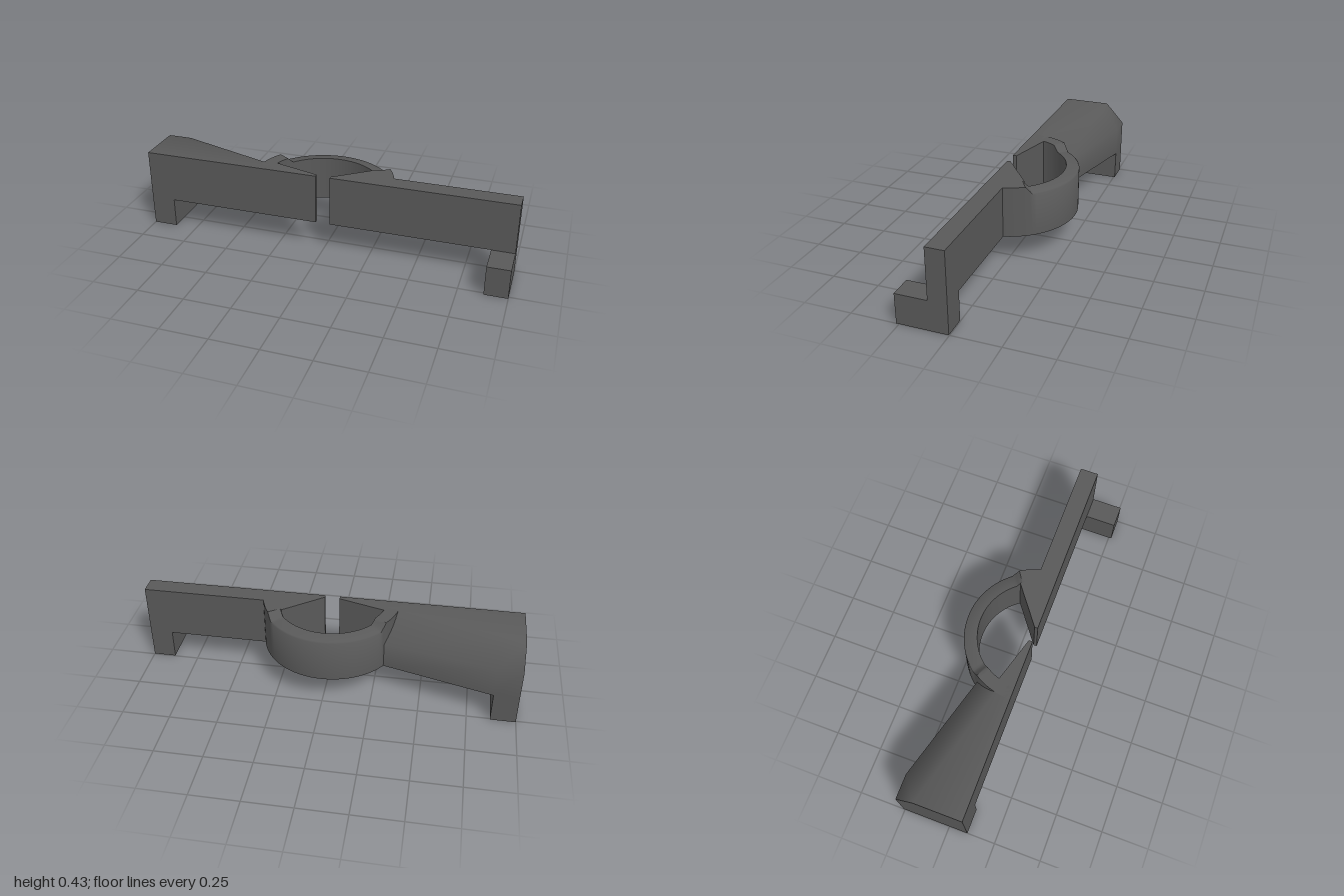
import * as THREE from 'three';
import { toCreasedNormals } from 'three/addons/utils/BufferGeometryUtils.js';
import { ConvexGeometry } from 'three/addons/geometries/ConvexGeometry.js';

const TOP = 0.43, BASE = 0.16, FRONT = 0.1;
const RING_Z = 0.099, OUTER = 0.364, INNER = 0.295;

export function createModel() {
  const group = new THREE.Group();
  const material = new THREE.MeshStandardMaterial({ color: 0x595959 });

  const add = (name, geometry) => {
    const mesh = new THREE.Mesh(geometry, material);
    mesh.name = name;
    group.add(mesh);
  };

  // Upright prism from a plan outline of [x, z] points
  const prism = (points, y0, y1) => {
    const shape = new THREE.Shape(points.map(([x, z]) => new THREE.Vector2(x, -z)));
    return new THREE.ExtrudeGeometry(shape, { depth: y1 - y0, bevelEnabled: false })
      .rotateX(-Math.PI / 2).translate(0, y0, 0);
  };
  const box = (x0, x1, y0, y1, z0, z1) =>
    new THREE.BoxGeometry(x1 - x0, y1 - y0, z1 - z0)
      .translate((x0 + x1) / 2, (y0 + y1) / 2, (z0 + z1) / 2);

  // Half ring with a low, softened rim; its two shoulders ramp up to the arms
  const profile = [
    [INNER, BASE], [OUTER, BASE], [OUTER, 0.385], [OUTER - 0.006, 0.391], [INNER, 0.4], [INNER, BASE],
  ].map(([r, y]) => new THREE.Vector2(r, y));
  const ring = new THREE.LatheGeometry(profile, 60, Math.PI / 2, Math.PI);
  const p = ring.attributes.position;
  for (let i = 0; i < p.count; i++) {
    const y = p.getY(i);
    if (y <= BASE + 0.01) continue;
    const angle = THREE.MathUtils.radToDeg(Math.atan2(-p.getZ(i), Math.abs(p.getX(i))));
    const drop = THREE.MathUtils.clamp((angle - 33) / 6, 0, 1);
    p.setY(i, THREE.MathUtils.lerp(TOP, y, drop));
  }
  ring.translate(0, 0, RING_Z);
  add('halfRing', toCreasedNormals(ring, 0.8));

  // Thin straight arm with its pointed jaw
  add('leftArm', prism([
    [1, FRONT], [1, 0.003], [0.34, 0.003], [0.3, -0.03], [0.24, -0.07], [0.037, 0.083], [0.037, FRONT],
  ], BASE, TOP));
  add('leftFoot', box(0.88, 1, 0, BASE, 0.003, 0.265));

  // Thick tapering arm, softly chamfered along its upper back edge
  const corners = [];
  for (const [x, back, topBack, chamferY] of [
    [-1, -0.257, -0.153, 0.317],
    [-0.87, -0.257, -0.153, 0.317],
    [-0.3, -0.105, 0.035, 0.3],
  ]) {
    for (const [z, y] of [[FRONT, BASE], [back, BASE], [back, chamferY], [topBack, TOP], [FRONT, TOP]]) {
      corners.push(new THREE.Vector3(x, y, z));
    }
  }
  add('rightArm', toCreasedNormals(new ConvexGeometry(corners), 0.95));
  add('rightJaw', prism([
    [-0.32, FRONT], [-0.04, FRONT], [-0.04, 0.08], [-0.285, 0.01], [-0.32, 0.01],
  ], BASE, TOP));
  add('rightFoot', box(-1, -0.87, 0, BASE, -0.257, FRONT));

  return group;
}
